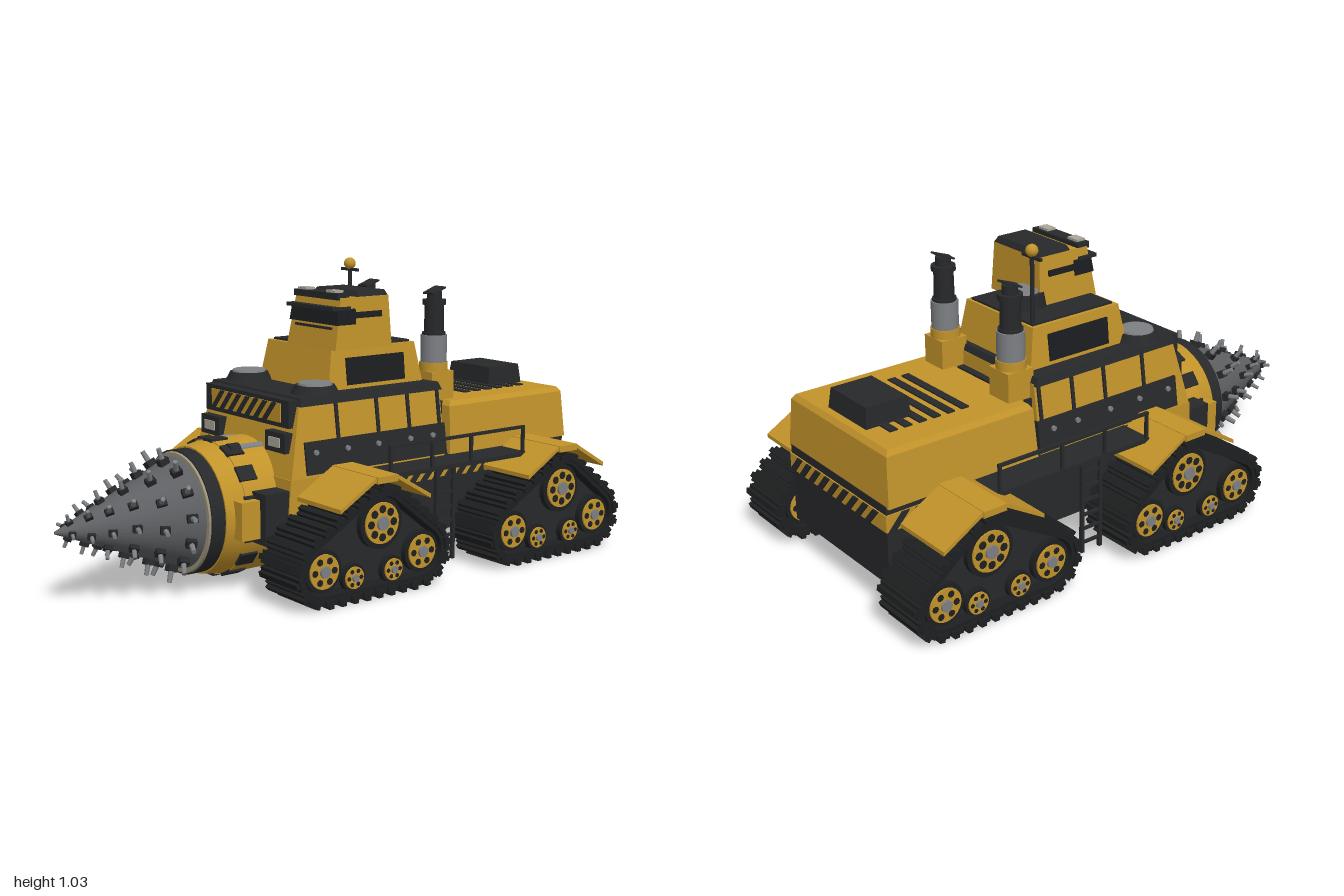
import * as THREE from 'three';

const mat = (name, color, extra = {}) => Object.assign(new THREE.MeshStandardMaterial({ color, ...extra }), { name });
const M = {
  yellow: mat('machine yellow', 0xc2932a),
  black: mat('black steel', 0x27282a),
  rubber: mat('track black', 0x1e1f20),
  steel: mat('drill steel', 0x5e6063),
  bright: mat('bright steel', 0x7d8083),
  tan: mat('worn ring', 0x9c927c),
  lens: mat('lamp lens', 0xaba79c),
  glass: mat('dark glass', 0x1b1d20),
};

function add(parent, name, geo, material, x = 0, y = 0, z = 0) {
  const m = new THREE.Mesh(geo, material);
  m.name = name;
  m.position.set(x, y, z);
  parent.add(m);
  return m;
}

// Box from limits; t = top insets [x0, x1, z0, z1] for sloping walls
function block(parent, name, material, [x0, x1], [y0, y1], [z0, z1], t = [0, 0, 0, 0]) {
  const g = new THREE.BoxGeometry(x1 - x0, y1 - y0, z1 - z0);
  g.translate((x0 + x1) / 2, (y0 + y1) / 2, (z0 + z1) / 2);
  const p = g.attributes.position, mx = (x0 + x1) / 2, mz = (z0 + z1) / 2, my = (y0 + y1) / 2;
  for (let i = 0; i < p.count; i++) {
    if (p.getY(i) < my) continue;
    p.setX(i, p.getX(i) < mx ? x0 + t[0] : x1 - t[1]);
    p.setZ(i, p.getZ(i) < mz ? z0 + t[2] : z1 - t[3]);
  }
  g.computeVertexNormals();
  return add(parent, name, g, material);
}

// Box limits mirrored to the given side
const span = (s, a, b) => (s > 0 ? [a, b] : [-b, -a]);
const both = (fn) => [1, -1].forEach(fn);
const cyl = (r0, r1, h, n = 20) => new THREE.CylinderGeometry(r0, r1, h, n);
const axle = (r, w, n = 24) => cyl(r, r, w, n).rotateZ(Math.PI / 2);

// Profile in the z-y plane, extruded across x about the origin
function sideExtrude(shape, width) {
  const g = new THREE.ExtrudeGeometry(shape, { depth: width, bevelEnabled: false });
  return g.translate(0, 0, -width / 2).rotateY(-Math.PI / 2);
}

// Slanted thin bars filling a strip in the local x-y plane
function hazard(name, length, h, n) {
  const g = new THREE.Group(), p = length / n, lean = h * 0.9;
  g.name = name;
  const s = new THREE.Shape([[0, 0], [p * 0.5, 0], [p * 0.5 + lean, h], [lean, h]].map((a) => new THREE.Vector2(...a)));
  const geo = new THREE.ExtrudeGeometry(s, { depth: 0.006, bevelEnabled: false });
  for (let i = 0; i * p + p * 0.5 + lean <= length + 1e-6; i++) add(g, 'hazard stripe', geo, M.black, -length / 2 + i * p, -h / 2, 0);
  return g;
}

function wheel(parent, z, y, r, holes) {
  const g = new THREE.Group();
  g.name = 'wheel';
  g.position.set(0, y, z);
  parent.add(g);
  add(g, 'tyre', axle(r, 0.17), M.rubber);
  add(g, 'rim', axle(r * 0.8, 0.182), M.yellow);
  add(g, 'hub', axle(r * 0.27, 0.198, 12), M.bright);
  for (let i = 0; i < holes; i++) {
    const a = (i / holes) * Math.PI * 2;
    add(g, 'rim hole', axle(r * 0.16, 0.186, 8), M.rubber, 0, Math.sin(a) * r * 0.54, Math.cos(a) * r * 0.54);
  }
}

// Outline wrapped round the three main wheels
function trackOutline(grow) {
  const circles = [[0, 0.25, 0.092], [0.23, 0.13, 0.082], [-0.17, 0.13, 0.082]], pts = [];
  for (let i = 0; i <= 72; i++) {
    const a = (i / 72) * Math.PI * 2, c = Math.cos(a), s = Math.sin(a);
    const k = circles.reduce((m, q) => (q[0] * c + q[1] * s + q[2] > m[0] * c + m[1] * s + m[2] ? q : m));
    pts.push(new THREE.Vector2(k[0] + c * (k[2] + grow), k[1] + s * (k[2] + grow)));
  }
  return pts;
}

function makeTrack() {
  const g = new THREE.Group();
  g.name = 'trackUnit';
  const belt = new THREE.Shape(trackOutline(0.015));
  belt.holes.push(new THREE.Path(trackOutline(-0.004).reverse()));
  add(g, 'track belt', sideExtrude(belt, 0.19), M.rubber);
  add(g, 'track frame', sideExtrude(new THREE.Shape(trackOutline(-0.012)), 0.13), M.black);
  // Track shoes with a raised grouser
  const n = 30, pts = new THREE.Shape(trackOutline(0.015)).getSpacedPoints(n);
  for (let i = 0; i < n; i++) {
    const a = pts[i], b = pts[(i + 1) % n], shoe = new THREE.Group();
    shoe.name = 'track shoe';
    shoe.position.set(0, (a.y + b.y) / 2, (a.x + b.x) / 2);
    shoe.rotation.x = -Math.atan2(b.y - a.y, b.x - a.x);
    add(shoe, 'shoe plate', new THREE.BoxGeometry(0.205, 0.016, 0.042), M.rubber, 0, -0.004, 0);
    add(shoe, 'grouser', new THREE.BoxGeometry(0.2, 0.026, 0.018), M.rubber, 0, -0.012, 0);
    g.add(shoe);
  }
  wheel(g, 0, 0.25, 0.085, 8);
  [[0.23, 0.13, 0.07], [-0.17, 0.13, 0.07], [0.11, 0.09, 0.045], [-0.05, 0.09, 0.045]].forEach((w) => wheel(g, ...w, 6));
  // Bent fender
  const f = [[0.185, 0.31], [0.045, 0.392], [-0.045, 0.392], [-0.185, 0.31], [-0.185, 0.324], [-0.045, 0.406], [0.045, 0.406], [0.185, 0.324]];
  add(g, 'fender', sideExtrude(new THREE.Shape(f.map((p) => new THREE.Vector2(...p))), 0.225), M.yellow);
  block(g, 'fender cap', M.yellow, [-0.117, 0.117], [0.386, 0.408], [-0.042, 0.042]);
  return g;
}

function makeDrill() {
  const g = new THREE.Group();
  g.name = 'drill';
  g.position.y = 0.255;
  const ring = (name, r0, r1, z0, z1, m, n = 40) => add(g, name, cyl(r1, r0, z1 - z0, n).rotateX(Math.PI / 2), m, 0, 0, (z0 + z1) / 2);
  ring('drill drum', 0.225, 0.225, 0.28, 0.43, M.yellow);
  ring('drum collar', 0.222, 0.21, 0.43, 0.5, M.yellow);
  ring('bearing ring', 0.205, 0.205, 0.5, 0.55, M.black);
  ring('worn ring', 0.2, 0.197, 0.55, 0.557, M.tan);
  ring('drill cone', 0.183, 0.004, 0.557, 0.995, M.steel);
  const spoke = (a) => {
    const s = new THREE.Group();
    s.rotation.z = a;
    s.name = 'spoke';
    g.add(s);
    return s;
  };
  for (let i = 0; i < 14; i++) block(spoke((i / 14) * Math.PI * 2), 'drum pad', M.black, [-0.026, 0.026], [0.2, 0.23], [0.37, 0.435]);
  // Rows of picks leaning toward the tip
  [[0.6, 13], [0.68, 10], [0.76, 9], [0.83, 7], [0.89, 5], [0.945, 4]].forEach(([z, n], row) => {
    const r = 0.183 * (0.995 - z) / 0.438, k = 1 - row * 0.07;
    for (let i = 0; i < n; i++) {
      const pick = new THREE.Group();
      pick.name = 'pick';
      pick.position.set(0, r, z);
      pick.rotation.x = 0.35;
      pick.scale.setScalar(k);
      spoke(((i + row * 0.37) / n) * Math.PI * 2).add(pick);
      add(pick, 'pick holder', new THREE.BoxGeometry(0.026, 0.026, 0.034), M.black, 0, 0.008, 0);
      add(pick, 'pick tooth', cyl(0.008, 0.011, 0.07, 8), M.bright, 0, 0.022, 0);
    }
  });
  return g;
}

export function createModel() {
  const root = new THREE.Group();
  root.name = 'drillingMachine';
  const track = makeTrack();
  both((s) => [0.1, -0.715].forEach((z) => {
    const t = track.clone();
    t.position.set(s * 0.407, 0, z);
    root.add(t);
  }));
  root.add(makeDrill());

  // Chassis and hazard strips
  block(root, 'chassis', M.black, [-0.28, 0.28], [0.115, 0.385], [-0.94, 0.28]);
  block(root, 'chassis strip', M.yellow, [-0.284, 0.284], [0.3, 0.357], [-0.944, 0.24]);
  both((s) => {
    const h = hazard('side hazard strip', 1.17, 0.055, 22);
    h.position.set(s * 0.283, 0.329, -0.352);
    h.rotation.y = s * Math.PI / 2;
    root.add(h);
  });
  const back = hazard('rear hazard strip', 0.56, 0.055, 10);
  back.position.set(0, 0.329, -0.943);
  back.rotation.y = Math.PI;
  root.add(back);

  // Rear hood with vents and top box
  block(root, 'rear hood', M.yellow, [-0.293, 0.293], [0.38, 0.545], [-0.938, -0.372], [0.015, 0.015, 0.01, 0.008]);
  block(root, 'hood top', M.yellow, [-0.278, 0.278], [0.545, 0.562], [-0.928, -0.38], [0.012, 0.012, 0.012, 0.012]);
  for (let i = 0; i < 6; i++) block(root, 'hood vent', M.black, [-0.17, 0.17], [0.56, 0.567], [-0.843 + i * 0.053, -0.815 + i * 0.053]);
  block(root, 'hood box', M.black, [-0.11, 0.11], [0.56, 0.63], [-0.89, -0.725], [0.008, 0.008, 0.008, 0.008]);

  // Front hull and deck
  block(root, 'front hull', M.yellow, [-0.285, 0.285], [0.375, 0.61], [-0.355, 0.3], [0.035, 0.035, 0, 0.055]);
  block(root, 'hull joint', M.black, [-0.24, 0.24], [0.38, 0.56], [-0.38, -0.35]);
  block(root, 'nose', M.yellow, [-0.285, 0.285], [0.18, 0.376], [0.14, 0.315], [0, 0, 0, 0.012]);
  block(root, 'deck', M.black, [-0.265, 0.265], [0.605, 0.632], [-0.355, 0.25], [0.01, 0.01, 0.01, 0.01]);
  block(root, 'hazard frame', M.black, [-0.24, 0.24], [0.535, 0.625], [0.22, 0.28]);
  block(root, 'hazard panel', M.yellow, [-0.2, 0.2], [0.55, 0.612], [0.279, 0.284]);
  const front = hazard('front hazard stripes', 0.4, 0.062, 8);
  front.position.set(0, 0.581, 0.28);
  root.add(front);

  both((s) => {
    block(root, 'hull side band', M.black, span(s, 0.2, 0.291), [0.385, 0.49], [-0.36, 0.24], s > 0 ? [0, 0.016, 0, 0] : [0.016, 0, 0, 0]);
    [0.2, 0.07, -0.06, -0.2, -0.3].forEach((z) => add(root, 'bolt', axle(0.009, 0.02, 8), M.bright, s * 0.278, 0.455, z));
    [0.1, -0.07, -0.205, -0.34].forEach((z) => block(root, 'hull rib', M.black, span(s, 0.22, 0.274), [0.49, 0.607], [z - 0.006, z + 0.006], s > 0 ? [0, 0.017, 0, 0] : [0.017, 0, 0, 0]));
    // Headlamp and deck hatch
    block(root, 'lamp housing', M.black, span(s, 0.135, 0.245), [0.455, 0.52], [0.23, 0.298]);
    block(root, 'lamp lens', M.lens, span(s, 0.16, 0.22), [0.472, 0.503], [0.297, 0.303]);
    add(root, 'deck hatch', cyl(0.066, 0.082, 0.03, 16), M.black, s * 0.19, 0.645, 0.135);
    add(root, 'hatch lid', cyl(0.056, 0.06, 0.01, 16), M.bright, s * 0.19, 0.662, 0.135);
    // Drill bracket and hydraulic ram
    block(root, 'drill bracket', M.black, span(s, 0.19, 0.28), [0.175, 0.342], [0.27, 0.4]);
    block(root, 'bracket cover', M.yellow, span(s, 0.19, 0.252), [0.195, 0.32], [0.3, 0.47]);
    add(root, 'ram', cyl(0.016, 0.016, 0.14, 12).rotateX(Math.PI / 2), M.bright, s * 0.083, 0.455, 0.32);
    add(root, 'ram end', cyl(0.023, 0.023, 0.04, 12).rotateX(Math.PI / 2), M.black, s * 0.083, 0.455, 0.39);
    // Walkway, railing and ladder
    block(root, 'walkway', M.black, span(s, 0.27, 0.41), [0.363, 0.378], [-0.63, 0]);
    block(root, 'handrail', M.black, span(s, 0.4, 0.41), [0.462, 0.472], [-0.615, -0.005]);
    [-0.01, -0.19, -0.365, -0.61].forEach((z) => block(root, 'rail post', M.black, span(s, 0.4, 0.41), [0.37, 0.47], [z - 0.005, z + 0.005]));
    [-0.21, -0.285].forEach((z) => block(root, 'ladder rail', M.black, span(s, 0.4, 0.412), [0.05, 0.37], [z - 0.006, z + 0.006]));
    for (let i = 0; i < 6; i++) block(root, 'ladder rung', M.black, span(s, 0.402, 0.41), [0.08 + i * 0.05, 0.09 + i * 0.05], [-0.285, -0.21]);
    // Exhaust stack
    const e = new THREE.Group();
    e.name = 'exhaustStack';
    e.position.set(s * 0.18, 0, -0.39);
    root.add(e);
    block(e, 'stack base', M.yellow, [-0.05, 0.05], [0.555, 0.66], [-0.05, 0.05]);
    add(e, 'stack flange', cyl(0.05, 0.05, 0.03), M.yellow, 0, 0.675, 0);
    add(e, 'stack silencer', cyl(0.046, 0.046, 0.1), M.bright, 0, 0.735, 0);
    add(e, 'stack pipe', cyl(0.033, 0.035, 0.12), M.black, 0, 0.84, 0);
    [0.785, 0.898].forEach((y) => add(e, 'stack collar', cyl(0.041, 0.041, 0.018), M.black, 0, y, 0));
    add(e, 'stack mouth', cyl(0.026, 0.026, 0.035), M.black, 0, 0.918, 0);
    add(e, 'rain flap', new THREE.BoxGeometry(0.055, 0.006, 0.06), M.black, 0, 0.938, 0).rotation.x = 0.35;
    // Lower cabin window
    block(root, 'cabin window', M.glass, span(s, 0.18, 0.198), [0.645, 0.735], [-0.245, 0.005], s > 0 ? [0, 0.009, 0, 0] : [0.009, 0, 0, 0]);
  });

  // Lower cabin, roof plate and round hatch
  block(root, 'lower cabin', M.yellow, [-0.197, 0.197], [0.625, 0.767], [-0.325, 0.085], [0.018, 0.018, 0.025, 0.025]);
  block(root, 'cabin roof plate', M.black, [-0.165, 0.165], [0.766, 0.774], [-0.29, 0.045]);
  add(root, 'roof hatch', cyl(0.07, 0.078, 0.05, 16), M.black, 0, 0.797, -0.2);
  add(root, 'roof hatch lid', cyl(0.05, 0.055, 0.012, 16), M.bright, 0, 0.826, -0.2);

  // Offset lookout cab
  block(root, 'lookout cab', M.yellow, [-0.056, 0.212], [0.766, 0.937], [-0.172, 0.068], [0.016, 0.008, 0.01, 0.028]);
  block(root, 'cab windscreen', M.glass, [-0.053, 0.21], [0.848, 0.9], [-0.02, 0.06], [0.004, 0.003, 0, 0.008]);
  block(root, 'windscreen visor', M.black, [-0.05, 0.208], [0.896, 0.908], [0, 0.075]);
  block(root, 'windscreen sill', M.black, [-0.02, 0.18], [0.832, 0.84], [0.02, 0.062]);
  block(root, 'cab slit', M.glass, [-0.052, 0.212], [0.868, 0.888], [-0.13, 0.01], [0.002, 0.002, 0, 0]);
  block(root, 'cab roof', M.black, [-0.04, 0.2], [0.935, 0.955], [-0.165, -0.03], [0.01, 0.01, 0.01, 0.01]);
  block(root, 'roof light bar', M.black, [-0.04, 0.2], [0.93, 0.952], [0, 0.05]);
  [0, 0.155].forEach((x) => block(root, 'roof lamp', M.lens, [x - 0.024, x + 0.024], [0.95, 0.96], [0.01, 0.045]));

  // Antenna with beacon
  add(root, 'antenna', cyl(0.007, 0.008, 0.24, 8), M.black, -0.152, 0.885, -0.28);
  block(root, 'antenna bar', M.black, [-0.198, -0.106], [0.99, 1.0], [-0.285, -0.275]);
  add(root, 'beacon', new THREE.SphereGeometry(0.021, 16, 12), M.yellow, -0.152, 1.016, -0.28);
  return root;
}
